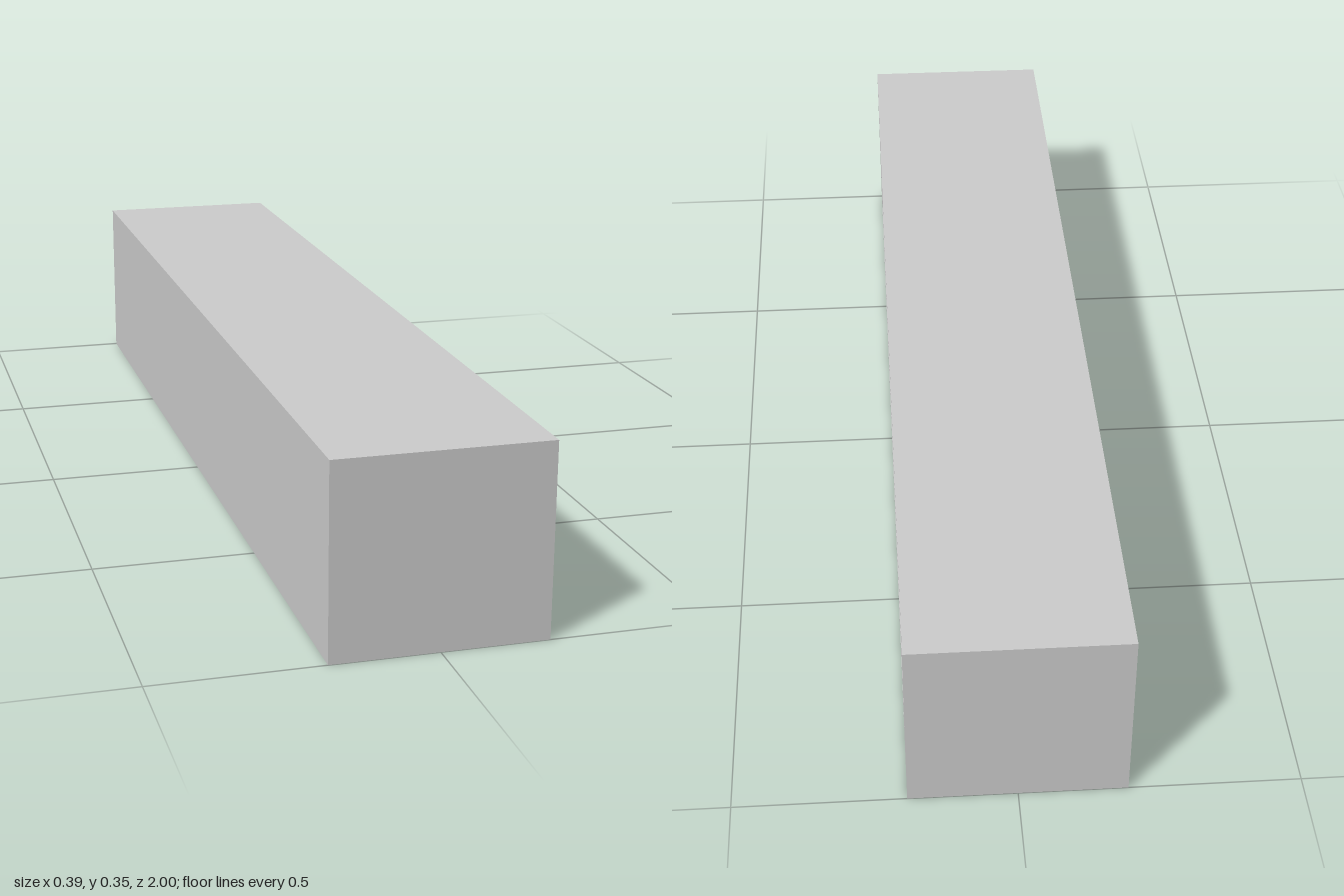
import * as THREE from 'three';

const HALF_WIDTH = 0.194, HEIGHT = 0.353;
const RECESS_DEPTH = 0.048, RECESS_MARGIN = 0.043, RECESS_HALF_LENGTH = 0.875;

// Rectangle across x, corners counter-clockwise as seen from +x
function section(x, y0, y1, halfLength) {
  return [
    [x, y0, halfLength], [x, y0, -halfLength],
    [x, y1, -halfLength], [x, y1, halfLength],
  ];
}

export function createModel() {
  const group = new THREE.Group();
  const y0 = RECESS_MARGIN, y1 = HEIGHT - RECESS_MARGIN;

  // Closed skin: back face, outer walls, rim, recess walls, recess floor
  const loops = [
    section(-HALF_WIDTH, 0, HEIGHT, 1),
    section(HALF_WIDTH, 0, HEIGHT, 1),
    section(HALF_WIDTH, y0, y1, RECESS_HALF_LENGTH),
    section(HALF_WIDTH - RECESS_DEPTH, y0, y1, RECESS_HALF_LENGTH),
  ];
  const positions = [];
  const quad = (a, b, c, d) => positions.push(...a, ...b, ...c, ...a, ...c, ...d);

  for (let k = 0; k < loops.length - 1; k++) {
    const a = loops[k], b = loops[k + 1];
    for (let i = 0; i < 4; i++) {
      const j = (i + 1) % 4;
      quad(a[i], a[j], b[j], b[i]);
    }
  }
  quad(...[...loops[0]].reverse()); // plain side
  quad(...loops[3]); // recess floor

  const geometry = new THREE.BufferGeometry();
  geometry.setAttribute('position', new THREE.Float32BufferAttribute(positions, 3));
  geometry.computeVertexNormals();

  const block = new THREE.Mesh(
    geometry,
    new THREE.MeshStandardMaterial({ color: 0xcccccc, flatShading: true })
  );
  block.name = 'recessedBlock';
  group.add(block);
  return group;
}
